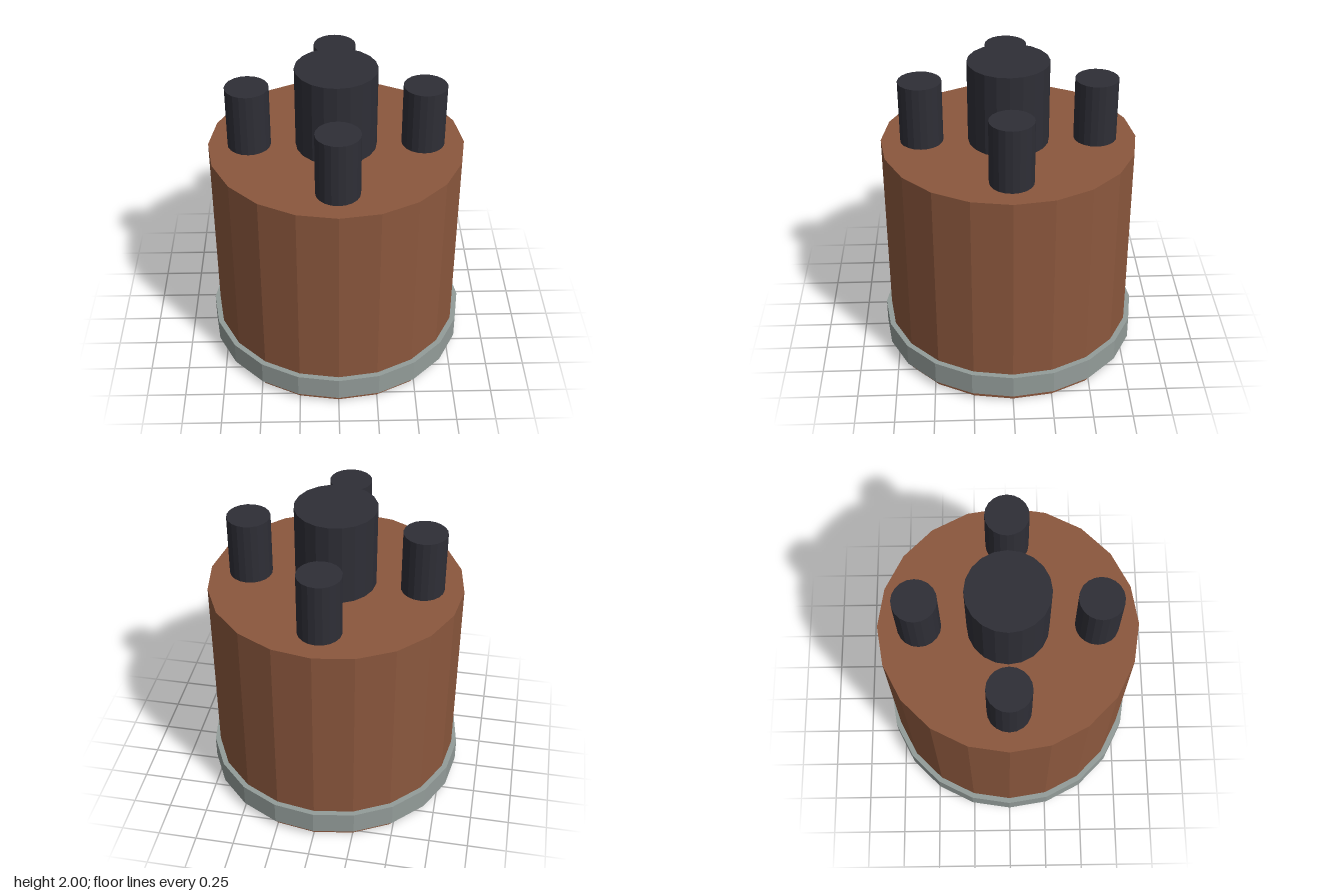
import * as THREE from 'three';

function flat(name, color) {
  const m = new THREE.MeshStandardMaterial({ color, flatShading: true });
  m.name = name;
  return m;
}

export function createModel() {
  const model = new THREE.Group();
  model.name = 'canister';
  const copper = flat('copper brown', 0x8b573d);
  const steel = flat('steel grey', 0x939c99);
  const dark = flat('dark plastic', 0x2e2e36);

  // Upright 20-sided cylinder between two heights
  function drum(name, radius, bottom, top, material, x = 0, z = 0) {
    const mesh = new THREE.Mesh(
      new THREE.CylinderGeometry(radius, radius, top - bottom, 20), material);
    mesh.name = name;
    mesh.position.set(x, (bottom + top) / 2, z);
    model.add(mesh);
  }

  // Main body and the band around its foot
  drum('body', 0.81, 0, 1.465, copper);
  drum('footBand', 0.845, 0.048, 0.2, steel);

  // Central post and four smaller terminals around it
  drum('centrePost', 0.257, 1.4, 2, dark);
  for (const [name, x, z] of [
    ['leftTerminal', 1, 0], ['rightTerminal', -1, 0],
    ['frontTerminal', 0, 1], ['backTerminal', 0, -1],
  ]) drum(name, 0.137, 1.4, 1.873, dark, x * 0.55, z * 0.55);

  return model;
}
